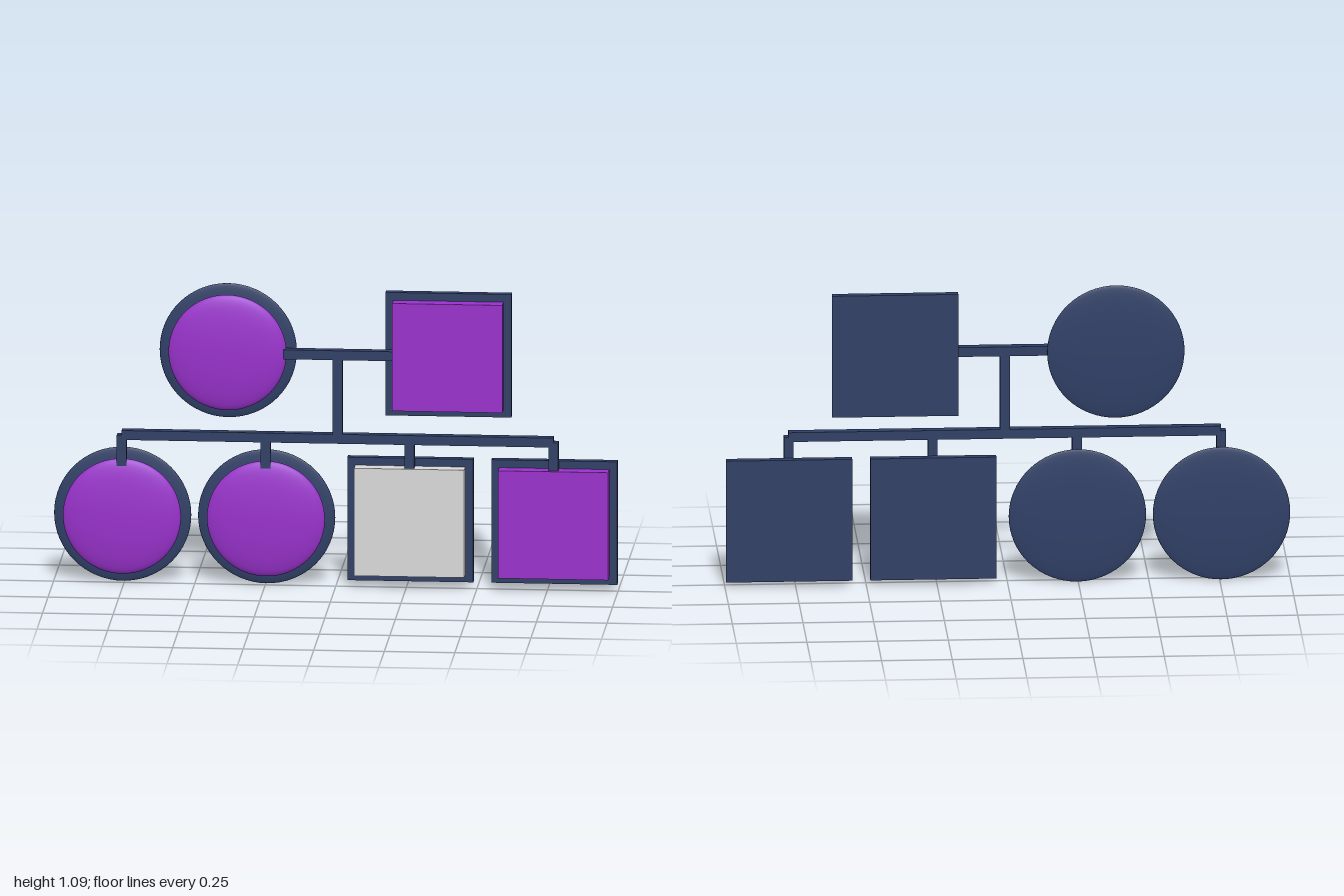
import * as THREE from 'three';

export function createModel() {
  const model = new THREE.Group();
  model.name = 'familyTree';

  const mat = (name, color) => {
    const m = new THREE.MeshStandardMaterial({ color });
    m.name = name;
    return m;
  };
  const navy = mat('navy', 0x2f3f66);
  const purple = mat('purple', 0x9932cc);
  const grey = mat('lightGrey', 0xd9d9d9);

  const add = (parent, name, geometry, material, x, y, z) => {
    const mesh = new THREE.Mesh(geometry, material);
    mesh.name = name;
    mesh.position.set(x, y, z);
    parent.add(mesh);
    return mesh;
  };
  const group = (name, x, y) => {
    const g = new THREE.Group();
    g.name = name;
    g.position.set(x, y, 0);
    model.add(g);
    return g;
  };

  // Round node: two flattened spheres, the wider one behind as a rim
  const sphere = new THREE.SphereGeometry(1, 64, 32);
  const roundNode = (name, x, y) => {
    const g = group(name, x, y);
    add(g, 'rim', sphere, navy, 0, 0, -0.026).scale.set(0.243, 0.243, 0.017);
    add(g, 'face', sphere, purple, 0, 0, 0.011).scale.set(0.209, 0.209, 0.034);
  };

  // Square node: thick tile on a wider backing plate
  const plate = new THREE.BoxGeometry(0.446, 0.446, 0.03);
  const tile = new THREE.BoxGeometry(0.39, 0.39, 0.05);
  const squareNode = (name, x, y, material) => {
    const g = group(name, x, y);
    add(g, 'backing', plate, navy, 0, 0, -0.026);
    add(g, 'face', tile, material, 0, 0, 0.015);
  };

  const upperY = 0.848, lowerY = 0.248, railY = 0.545, t = 0.034;
  const childX = [-0.757, -0.247, 0.263, 0.773];

  roundNode('upperRoundNode', -0.383, upperY);
  squareNode('upperSquareNode', 0.398, upperY, purple);
  roundNode('lowerRoundNode1', childX[0], lowerY);
  roundNode('lowerRoundNode2', childX[1], lowerY);
  squareNode('lowerSquareNode1', childX[2], lowerY, grey);
  squareNode('lowerSquareNode2', childX[3], lowerY, purple);

  // Connecting bars, given by their extents
  const bar = (name, x0, x1, y0, y1) =>
    add(model, name, new THREE.BoxGeometry(x1 - x0, y1 - y0, t), navy,
      (x0 + x1) / 2, (y0 + y1) / 2, 0.011);
  const h = t / 2;
  bar('upperLink', -0.185, 0.21, upperY - h, upperY + h);
  bar('stem', 0.008 - h, 0.008 + h, railY, upperY);
  bar('rail', childX[0], childX[3], railY - h, railY + h);
  childX.forEach((x, i) => bar('drop' + (i + 1), x - h, x + h, 0.433, railY));

  return model;
}
